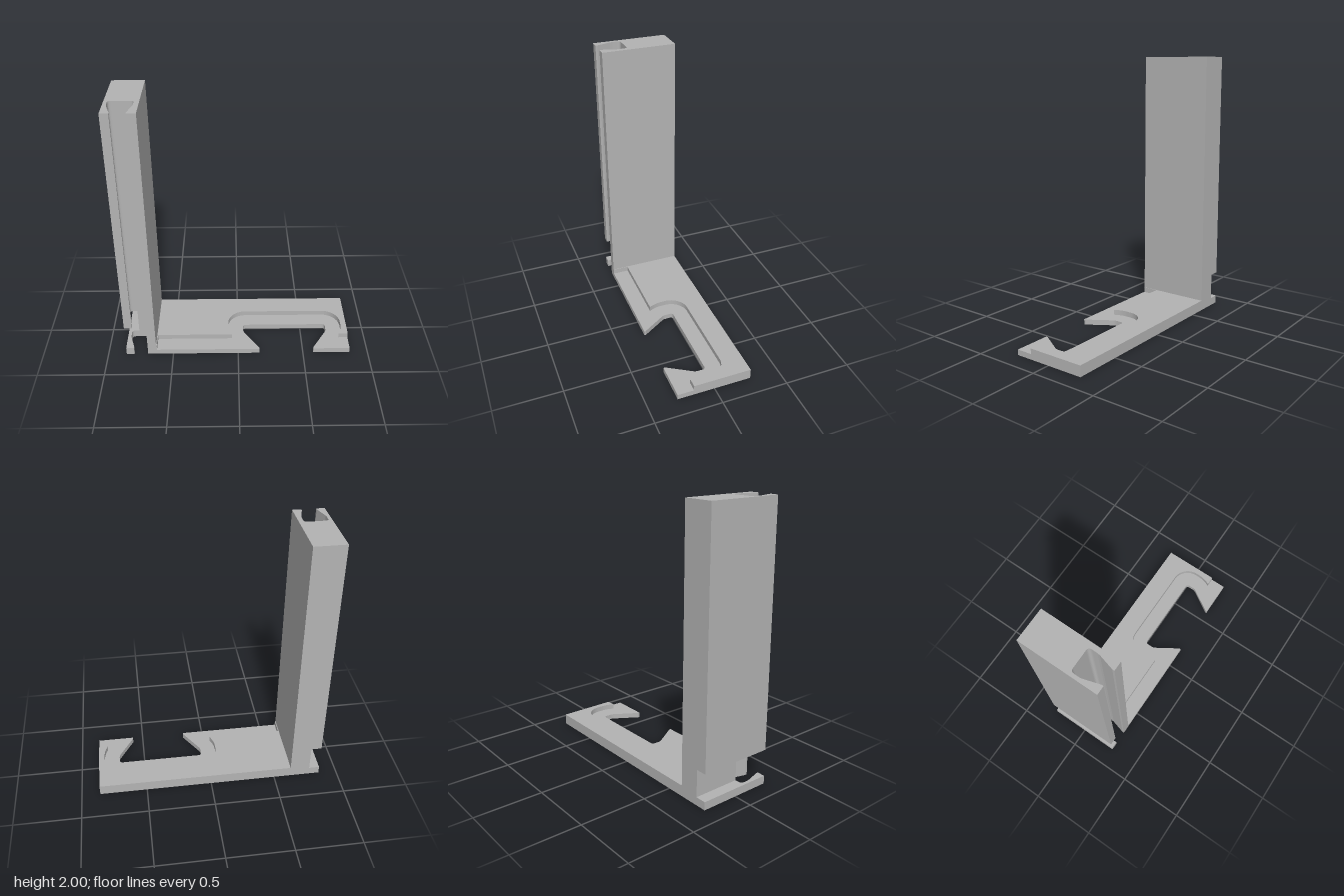
import * as THREE from 'three';

const grey = new THREE.MeshStandardMaterial({ color: 0xb3b3b3 });
grey.name = 'plain grey';

// Extrudes a plan outline, drawn as (x, -z), between two heights
function slab(name, shape, y0, y1) {
  const geometry = new THREE.ExtrudeGeometry(shape, { depth: y1 - y0, bevelEnabled: false, curveSegments: 8 });
  geometry.rotateX(-Math.PI / 2);
  geometry.translate(0, y0, 0);
  const mesh = new THREE.Mesh(geometry, grey);
  mesh.name = name;
  return mesh;
}

// Traces steps [x, z] as lines, or [controlX, controlZ, x, z] as curves
function plan(start, steps) {
  const shape = new THREE.Shape();
  shape.moveTo(start[0], -start[1]);
  for (const s of steps) {
    if (s.length === 2) shape.lineTo(s[0], -s[1]);
    else shape.quadraticCurveTo(s[0], -s[1], s[2], -s[3]);
  }
  return shape;
}

export function createModel() {
  const group = new THREE.Group();
  group.name = 'slottedBracket';
  const L = -0.86, R = 0.86, B = -0.28, F = 0.28, inner = -0.63, notchX = -0.78;

  // Right half of the column slot, traced from the front lip to its back wall
  const slotRight = [[-0.695, F], [-0.695, 0.265], [-0.667, 0.16], [-0.665, 0.14],
    [-0.665, 0.105], [-0.665, 0.08, -0.688, 0.08]];
  const columnPlan = plan([L, B], [[inner, B], [inner, F], ...slotRight,
    [-0.81, 0.08], [-0.835, 0.08, -0.835, 0.105], [-0.835, 0.14], [-0.832, 0.16],
    [-0.8, 0.265], [-0.8, F], [L, F]]);
  const notchPlan = plan([notchX, B], [[inner, B], [inner, F], ...slotRight, [notchX, 0.08]]);

  // Upright column with a notch cut across its outer side near the foot
  group.add(slab('columnFoot', columnPlan, 0, 0.06));
  group.add(slab('columnNotch', notchPlan, 0.06, 0.26));
  group.add(slab('column', columnPlan, 0.26, 2));

  // Lower base plate with the wide flared opening
  group.add(slab('basePlate', plan([inner, B], [[R, B], [R, F], [0.58, F], [0.58, 0.268],
    [0.69, 0.09], [0.698, 0.076, 0.698, 0.06], [0.698, 0.025], [0.698, 0, 0.673, 0],
    [0.067, 0], [0.042, 0, 0.042, 0.025], [0.042, 0.06], [0.042, 0.076, 0.05, 0.09],
    [0.163, 0.268], [0.163, F], [inner, F]]), 0, 0.04));

  // Raised base layer, stepped back around the opening
  const upper = plan([inner, B], [[R, B], [R, 0.157], [0.788, 0.157],
    [0.816, 0.105, 0.816, 0.05], [0.816, 0.018]]);
  upper.absarc(0.68, -0.018, 0.136, 0, Math.PI / 2, false);
  upper.absarc(0.06, -0.018, 0.136, Math.PI / 2, Math.PI, false);
  upper.lineTo(-0.076, -0.05);
  upper.quadraticCurveTo(-0.076, -0.105, -0.048, -0.157);
  upper.lineTo(-0.615, -0.157);
  upper.quadraticCurveTo(-0.625, -0.157, -0.625, -0.167);
  upper.lineTo(-0.625, -F);
  upper.lineTo(inner, -F);
  group.add(slab('raisedBase', upper, 0.04, 0.08));

  return group;
}
